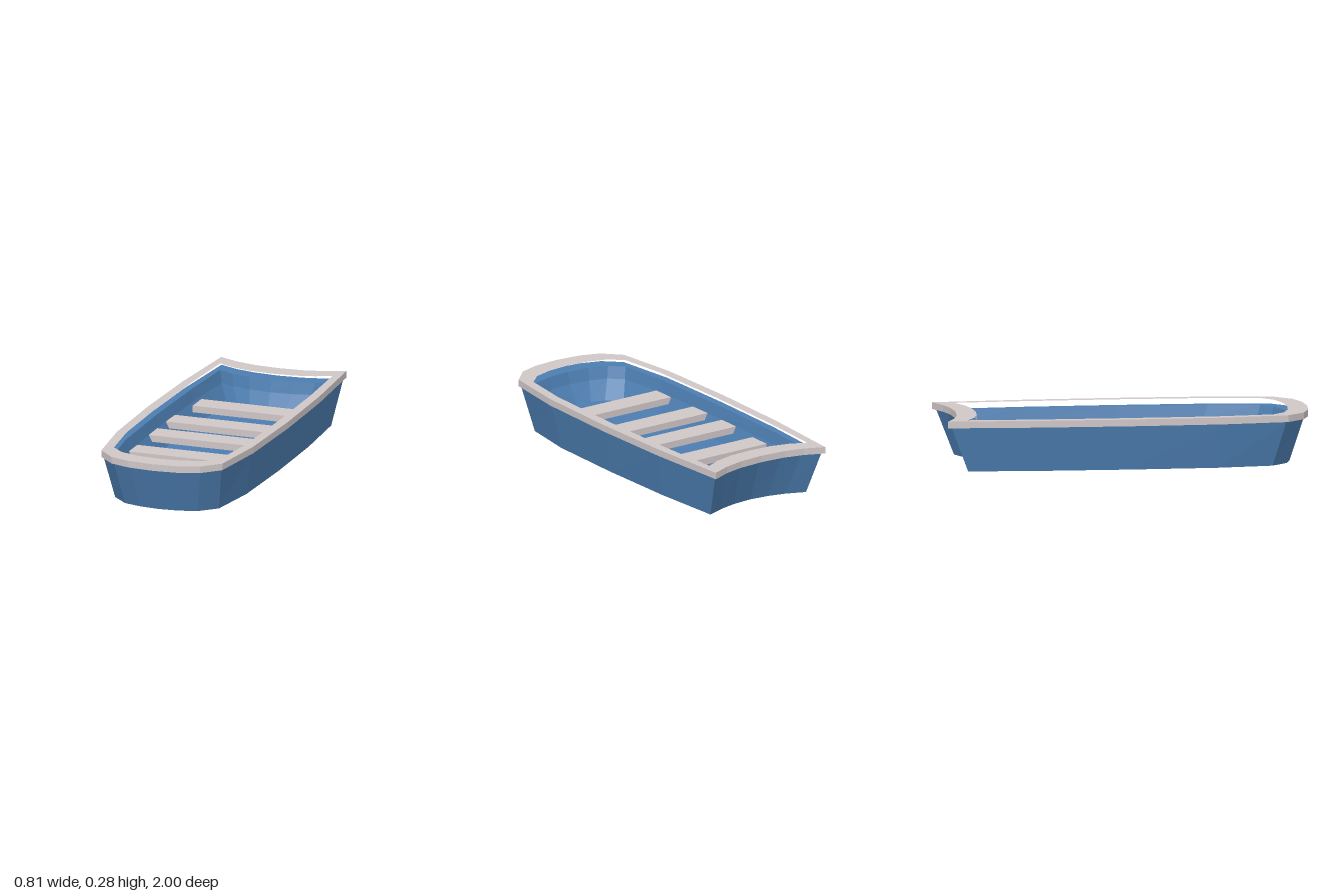
import * as THREE from 'three';

// Half outlines [x, z], bow centre -> side -> stern centre
const RIM_OUT = [[0, 1], [0.145, 0.987], [0.256, 0.95], [0.35, 0.855], [0.394, 0.5], [0.405, 0], [0.395, -0.5], [0.363, -1], [0.256, -0.953], [0.145, -0.926], [0, -0.915]];
const RIM_IN = [[0, 0.89], [0.13, 0.878], [0.235, 0.845], [0.305, 0.78], [0.34, 0.5], [0.35, 0], [0.343, -0.5], [0.325, -0.885], [0.24, -0.843], [0.13, -0.815], [0, -0.807]];
const HULL_TOP = [[0, 0.98], [0.14, 0.966], [0.25, 0.93], [0.341, 0.845], [0.384, 0.5], [0.393, 0], [0.385, -0.5], [0.353, -0.978], [0.25, -0.934], [0.14, -0.909], [0, -0.898]];
const HULL_BASE = [[0, 0.9], [0.11, 0.89], [0.21, 0.862], [0.3, 0.775], [0.343, 0.47], [0.352, 0], [0.344, -0.47], [0.317, -0.885], [0.21, -0.842], [0.11, -0.818], [0, -0.808]];
const FLOOR = [[0, 0.81], [0.09, 0.8], [0.165, 0.775], [0.24, 0.705], [0.272, 0.4], [0.282, 0], [0.277, -0.45], [0.255, -0.8], [0.18, -0.765], [0.1, -0.745], [0, -0.737]];

// Mirror a half outline into a closed loop
const full = (half) => [...half, ...half.slice(1, -1).reverse().map(([x, z]) => [-x, z])];
const mix = (a, b, t) => a.map((p, i) => [p[0] + (b[i][0] - p[0]) * t, p[1] + (b[i][1] - p[1]) * t]);
const vectors = (half, sign = 1) => full(half).map(([x, z]) => new THREE.Vector2(x, sign * z));

// Faceted skin through a series of [half outline, height] rings
function loft(rings) {
  const pos = [];
  for (let r = 0; r < rings.length - 1; r++) {
    const [lo, yl] = [full(rings[r][0]), rings[r][1]];
    const [hi, yh] = [full(rings[r + 1][0]), rings[r + 1][1]];
    lo.forEach((p, i) => {
      const j = (i + 1) % lo.length;
      const a = [p[0], yl, p[1]], b = [lo[j][0], yl, lo[j][1]];
      const c = [hi[j][0], yh, hi[j][1]], d = [hi[i][0], yh, hi[i][1]];
      pos.push(...a, ...b, ...c, ...a, ...c, ...d);
    });
  }
  const geo = new THREE.BufferGeometry();
  geo.setAttribute('position', new THREE.Float32BufferAttribute(pos, 3));
  geo.computeVertexNormals();
  return geo;
}

export function createModel() {
  const boat = new THREE.Group();
  boat.name = 'rowingBoat';
  const blue = new THREE.MeshStandardMaterial({ color: 0x4c7db0 });
  blue.name = 'hull blue';
  const pale = new THREE.MeshStandardMaterial({ color: 0xcfc6c6 });
  pale.name = 'pale wood';

  const add = (name, geo, mat) => {
    const mesh = new THREE.Mesh(geo, mat);
    mesh.name = name;
    boat.add(mesh);
    return mesh;
  };

  // Hull walls: outside, top edge, then down the inside to the floor
  add('hullWalls', loft([
    [HULL_BASE, 0], [HULL_TOP, 0.244], [RIM_IN, 0.244],
    [mix(FLOOR, RIM_IN, 0.76), 0.18], [FLOOR, 0.08],
  ]), blue);

  // Underside and inner floor
  add('hullBottom', new THREE.ShapeGeometry(new THREE.Shape(vectors(HULL_BASE))).rotateX(Math.PI / 2), blue);
  add('floor', new THREE.ShapeGeometry(new THREE.Shape(vectors(FLOOR, -1))).rotateX(-Math.PI / 2), blue)
    .position.y = 0.08;

  // Rim around the top
  const rimShape = new THREE.Shape(vectors(RIM_OUT));
  rimShape.holes.push(new THREE.Path(vectors(RIM_IN)));
  add('rim', new THREE.ExtrudeGeometry(rimShape, { depth: 0.037, bevelEnabled: false }).rotateX(Math.PI / 2), pale)
    .position.y = 0.281;

  // Four bench seats: [z, width]
  [[-0.473, 0.604], [-0.147, 0.664], [0.12, 0.664], [0.447, 0.644]].forEach(([z, w], i) => {
    add('seat' + (i + 1), new THREE.BoxGeometry(w, 0.037, 0.133), pale).position.set(0, 0.162, z);
  });

  return boat;
}
